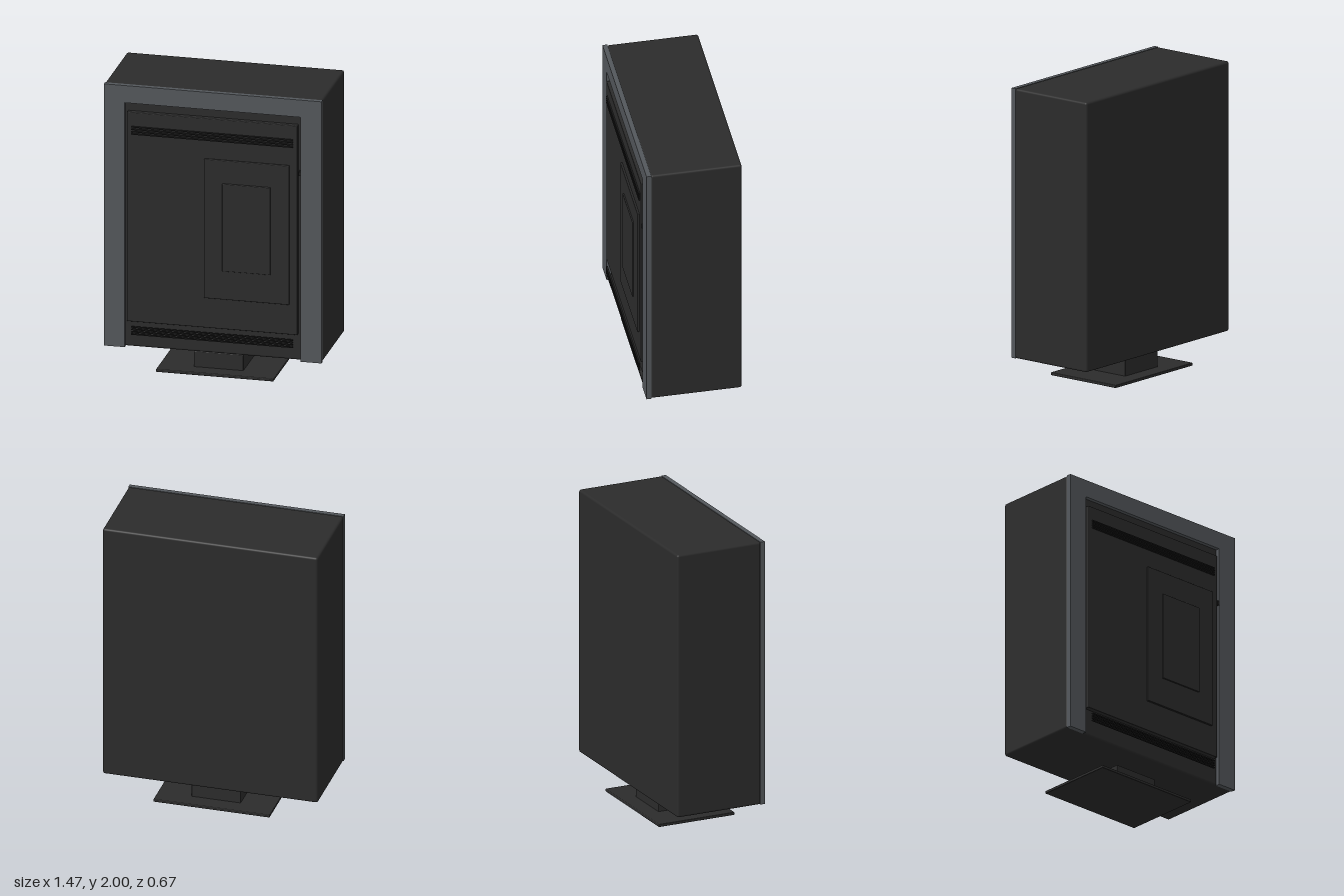
import * as THREE from 'three';
import { RoundedBoxGeometry } from 'three/addons/geometries/RoundedBoxGeometry.js';

const paint = (name, color) => {
  const m = new THREE.MeshStandardMaterial({ color });
  m.name = name;
  return m;
};

export function createModel() {
  const model = new THREE.Group();
  const black = paint('charcoal', 0x2b2b2b);
  const dark = paint('vent black', 0x1c1c1c);
  const grey = paint('slate grey', 0x53575b);

  // Box given by its limits on each axis; a radius rounds its edges
  function box(name, material, [x0, x1], [y0, y1], [z0, z1], radius = 0) {
    const size = [x1 - x0, y1 - y0, z1 - z0];
    const geometry = radius
      ? new RoundedBoxGeometry(...size, 3, radius)
      : new THREE.BoxGeometry(...size);
    const mesh = new THREE.Mesh(geometry, material);
    mesh.name = name;
    mesh.position.set((x0 + x1) / 2, (y0 + y1) / 2, (z0 + z1) / 2);
    model.add(mesh);
  }

  // Cabinet
  box('cabinet', black, [-0.735, 0.735], [0.175, 2], [-0.333, 0.278], 0.015);

  // Front surround, open at the bottom
  const outline = new THREE.Shape([
    [-0.735, 0.175], [-0.595, 0.175], [-0.595, 1.88], [0.595, 1.88],
    [0.595, 0.175], [0.735, 0.175], [0.735, 2], [-0.735, 2],
  ].map(([x, y]) => new THREE.Vector2(x, y)));
  const surround = new THREE.Mesh(
    new THREE.ExtrudeGeometry(outline, { depth: 0.032, bevelEnabled: false }), grey);
  surround.name = 'surround';
  surround.position.z = 0.274;
  model.add(surround);

  // Stepped door panels and the small latch beside them
  box('door', black, [-0.578, 0.574], [0.36, 1.82], [0.27, 0.311], 0.004);
  box('doorPanel', black, [-0.055, 0.52], [0.57, 1.54], [0.305, 0.324], 0.004);
  box('innerPanel', black, [0.07, 0.395], [0.77, 1.38], [0.318, 0.333], 0.003);
  box('latch', dark, [0.58, 0.596], [1.47, 1.5], [0.275, 0.308]);

  // Vent slats above and below
  for (const start of [0.27, 1.666]) {
    for (let i = 0; i < 4; i++) {
      const y = start + i * 0.0165;
      box('ventSlat', dark, [-0.547, 0.543], [y, y + 0.008], [0.309, 0.32]);
    }
  }

  // Pedestal block and foot plate
  box('pedestal', black, [-0.168, 0.168], [0.015, 0.13], [-0.193, 0.145], 0.005);
  box('footPlate', black, [-0.397, 0.397], [0, 0.02], [-0.302, 0.252], 0.005);

  return model;
}
